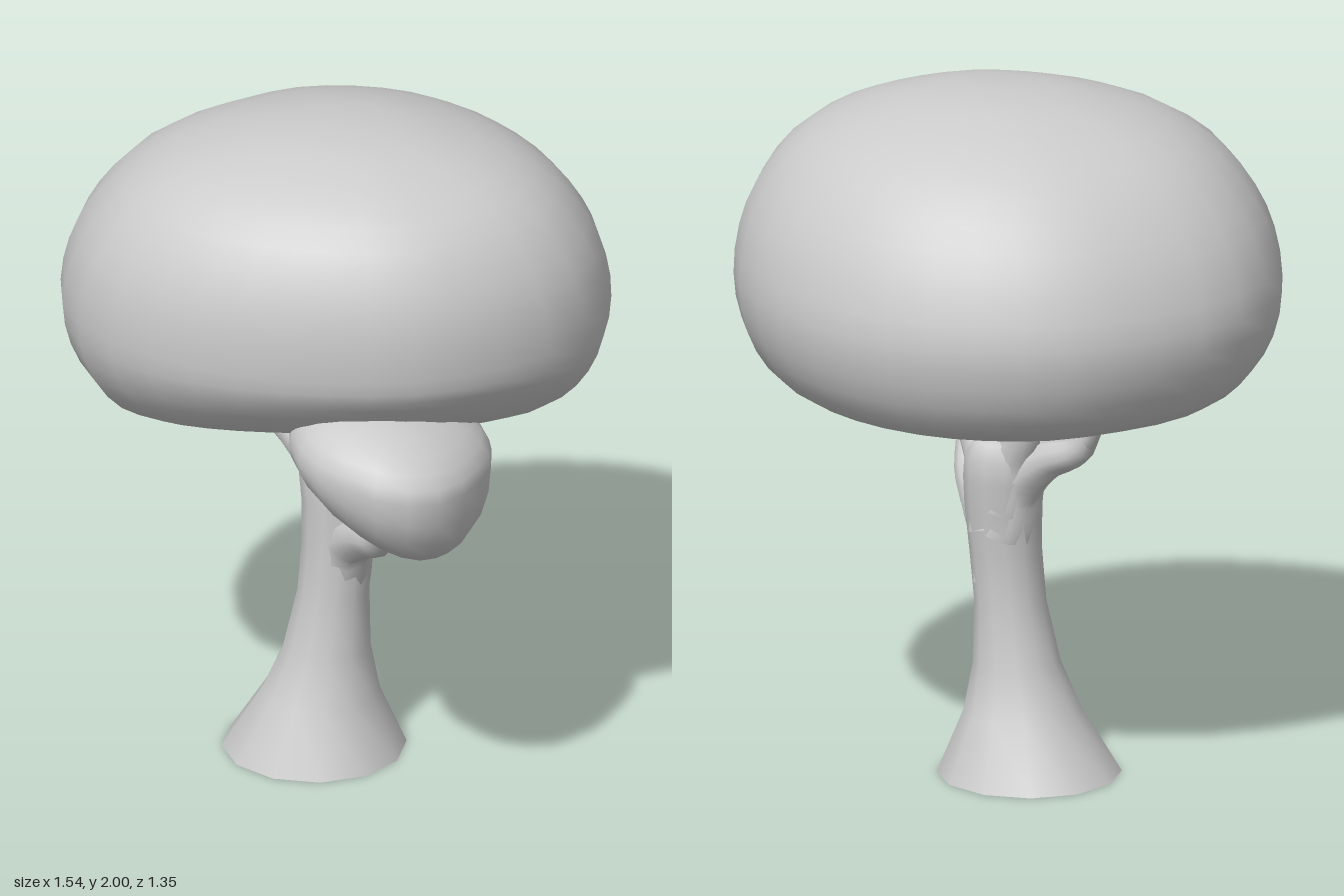
import * as THREE from 'three';
import { mergeVertices } from 'three/addons/utils/BufferGeometryUtils.js';

const material = new THREE.MeshStandardMaterial({ color: 0xcccccc });

// Moves every vertex by a rule, then welds seams for smooth normals
function shaped(geometry, rule) {
  const p = geometry.attributes.position;
  const v = new THREE.Vector3();
  for (let i = 0; i < p.count; i++) {
    v.fromBufferAttribute(p, i);
    rule(v, i);
    p.setXYZ(i, v.x, v.y, v.z);
  }
  geometry.deleteAttribute('uv');
  geometry.deleteAttribute('normal');
  const welded = mergeVertices(geometry, 1e-4);
  welded.computeVertexNormals();
  return welded;
}

function part(name, geometry) {
  const mesh = new THREE.Mesh(geometry, material);
  mesh.name = name;
  return mesh;
}

// Tapered limb through points, closed at the tip
function limb(name, points, r0, r1) {
  const curve = new THREE.CatmullRomCurve3(points.map(p => new THREE.Vector3(...p)));
  const rings = 16, sides = 10;
  const geometry = new THREE.TubeGeometry(curve, rings, 1, sides);
  return part(name, shaped(geometry, (v, i) => {
    const ring = Math.floor(i / (sides + 1));
    const t = ring / rings;
    const radius = ring === rings ? 0.001 : r1 + (r0 - r1) * (1 - t) ** 1.3;
    const c = curve.getPointAt(t);
    v.sub(c).multiplyScalar(radius).add(c);
  }));
}

// Flared trunk: rings of [y, radius, centre x, centre z]
function trunk() {
  const rings = [
    [0, 0.262, -0.078, 0.01], [0.18, 0.168, -0.055, 0.015], [0.32, 0.124, -0.037, 0.012],
    [0.5, 0.102, -0.018, 0.008], [0.65, 0.103, -0.006, 0.003], [0.78, 0.11, -0.003, -0.005],
    [0.87, 0.116, -0.008, -0.01], [0.94, 0.11, -0.01, -0.018], [0.985, 0.08, -0.01, -0.025],
    [1.0, 0, -0.01, -0.03],
  ];
  const group = new THREE.Group();
  group.name = 'trunk';
  const lathe = new THREE.LatheGeometry(rings.map(([y, r]) => new THREE.Vector2(r, y)), 12);
  group.add(part('trunkStem', shaped(lathe, (v, i) => {
    const [, , cx, cz] = rings[i % rings.length];
    v.x += cx;
    v.z += cz;
  })));
  const base = part('trunkBase', new THREE.CircleGeometry(0.262, 12).rotateX(Math.PI / 2));
  base.position.set(-0.078, 0, 0.01);
  group.add(base);
  return group;
}

// Broad crown: a domed profile with a hollow underside, swept round an uneven outline
function crown() {
  const profile = new THREE.SplineCurve([
    [0, 1.22], [0.2, 1.205], [0.4, 1.155], [0.6, 1.108], [0.77, 1.132], [0.89, 1.2], [0.97, 1.31],
    [1, 1.44], [0.975, 1.58], [0.91, 1.7], [0.79, 1.82], [0.61, 1.91], [0.38, 1.967], [0.2, 1.992], [0, 2],
  ].map(p => new THREE.Vector2(...p)));
  // Outline radius every 22.5 degrees, from +x towards +z
  const outline = new THREE.CatmullRomCurve3([
    0.772, 0.715, 0.68, 0.645, 0.66, 0.715, 0.78, 0.793, 0.77, 0.71, 0.69, 0.67, 0.675, 0.69, 0.725, 0.768,
  ].map(r => new THREE.Vector3(r, 0, 0)), true, 'catmullrom');
  const points = profile.getPoints(28);
  points[0].x = points[28].x = 0;
  return part('crown', shaped(new THREE.LatheGeometry(points, 32), v => {
    const turn = Math.atan2(v.z, v.x) / (2 * Math.PI);
    const radius = outline.getPoint((turn + 1) % 1).x;
    v.x *= radius;
    v.z *= radius;
    // Top leans forward and left; the rim lifts over the small clump
    const up = Math.max(0, (v.y - 1.44) / 0.56);
    const down = 1 - THREE.MathUtils.smoothstep(v.y, 1.1, 1.5);
    v.y += 0.25 * Math.max(0, 0.6 * v.x + v.z - 0.18) * down;
    v.x += 0.05 * up;
    v.z += 0.065 * up;
  }));
}

// Small clump: an ellipsoid fuller at its outer corner, where its underside sags
function clump() {
  return part('lowerClump', shaped(new THREE.SphereGeometry(1, 20, 14), v => {
    const { x, y, z } = v;
    const middle = 1.15 - 0.04 * x;
    const height = y > 0 ? 0.155 + 0.02 * z : 0.25 + 0.13 * x;
    const corner = 0.06 * Math.max(0, x) * Math.max(0, z);
    v.set(0.325 + 0.285 * x + corner, middle + height * y, 0.335 + 0.305 * z + corner);
  }));
}

export function createModel() {
  const tree = new THREE.Group();
  tree.name = 'tree';
  tree.add(trunk(), crown(), clump());

  const branches = new THREE.Group();
  branches.name = 'branches';
  branches.add(
    // Right-hand limb and its twig, growing out of the trunk top
    limb('rightBranch', [[-0.01, 0.72, -0.01], [-0.06, 0.86, -0.02], [-0.16, 0.945, -0.04], [-0.29, 1.01, -0.07], [-0.345, 1.15, -0.08]], 0.1, 0.026),
    limb('rightTwig', [[-0.28, 1.0, -0.065], [-0.34, 1.07, -0.09], [-0.37, 1.14, -0.12]], 0.034, 0.018),
    // Rear limb splitting in two
    limb('rearBranch', [[-0.02, 0.8, -0.02], [-0.06, 0.93, -0.04], [-0.11, 1.04, -0.075], [-0.095, 1.2, -0.1]], 0.095, 0.025),
    limb('rearTwig', [[-0.09, 1.0, -0.065], [-0.14, 1.07, -0.05], [-0.21, 1.15, -0.02]], 0.05, 0.022),
    // Left-hand limb reaching forward
    limb('leftBranch', [[0, 0.72, -0.01], [0.04, 0.87, 0.01], [0.12, 0.955, 0.07], [0.2, 1.04, 0.12], [0.27, 1.2, 0.12]], 0.1, 0.026),
    limb('leftTwig', [[0.1, 0.94, 0.055], [0.13, 1.04, 0.07], [0.13, 1.2, 0.07]], 0.05, 0.024),
    // Low limb carrying the small clump
    limb('lowBranch', [[0, 0.56, 0], [0.05, 0.67, 0.04], [0.13, 0.73, 0.11], [0.235, 0.79, 0.22], [0.28, 0.9, 0.29], [0.33, 1.0, 0.33]], 0.09, 0.022),
    limb('lowTwig', [[0.28, 0.91, 0.29], [0.28, 0.96, 0.27], [0.27, 1.02, 0.25]], 0.026, 0.018),
  );
  tree.add(branches);
  return tree;
}
